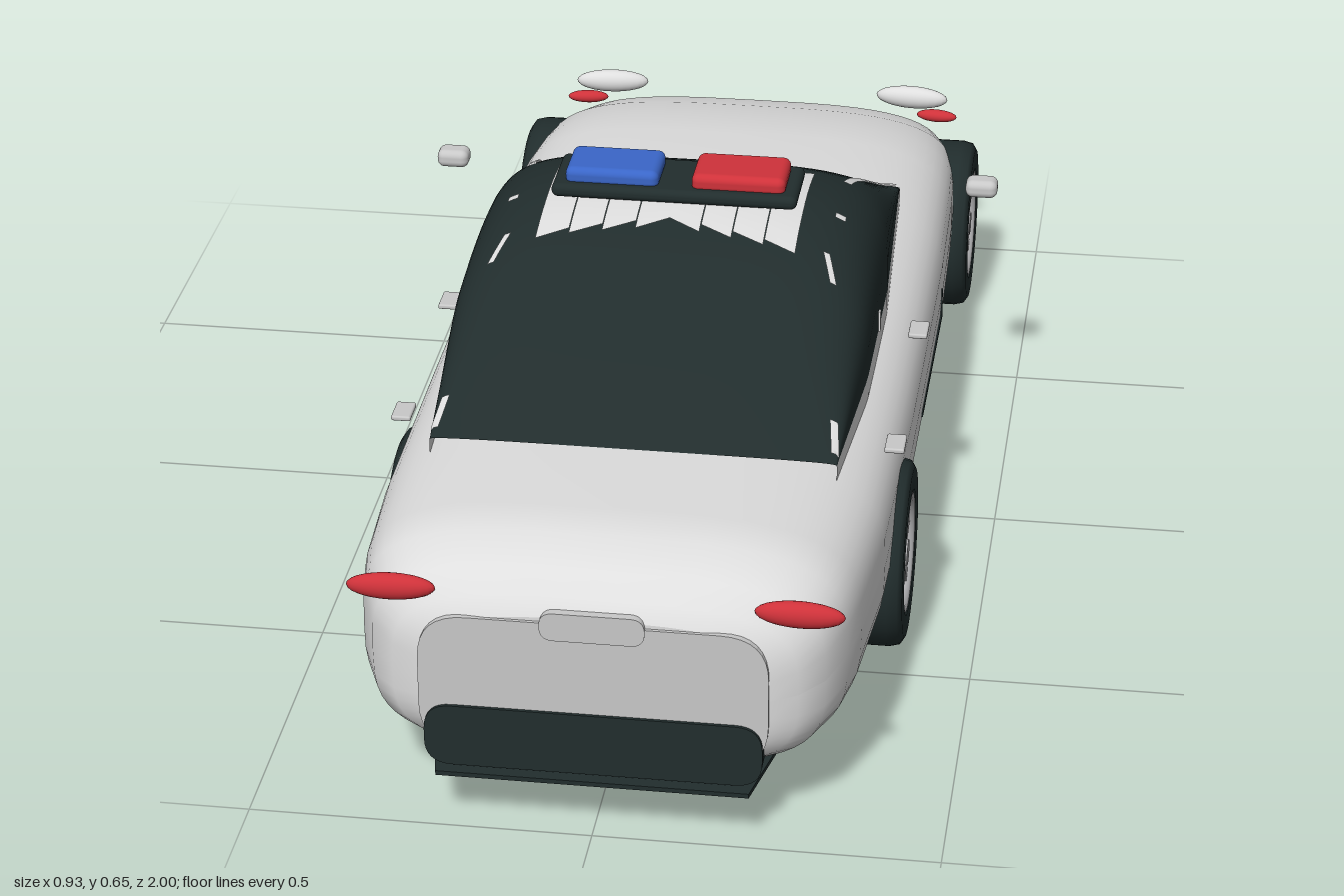
import * as THREE from 'three';
import { RoundedBoxGeometry } from 'three/addons/geometries/RoundedBoxGeometry.js';

const mat = (name, color, side = THREE.FrontSide) => {
  const m = new THREE.MeshStandardMaterial({ color, side });
  m.name = name;
  return m;
};

// Skin through cross-sections listed from back (-z) to front (+z)
function loft(sections, caps = false) {
  const n = sections[0].length, pos = [], idx = [];
  sections.forEach(s => s.forEach(p => pos.push(...p)));
  for (let i = 0; i < sections.length - 1; i++)
    for (let j = 0; j < n - 1; j++) {
      const a = i * n + j, b = a + 1, c = a + n, d = c + 1;
      idx.push(a, b, c, b, d, c);
    }
  if (caps) [sections[0], sections[sections.length - 1]].forEach((s, end) => {
    const base = pos.length / 3;
    const mid = [0, (Math.max(...s.map(p => p[1])) + Math.min(...s.map(p => p[1]))) / 2, s[0][2]];
    [mid, ...s].forEach(p => pos.push(...p));
    for (let j = 1; j < n; j++) end ? idx.push(base, base + j, base + j + 1) : idx.push(base, base + j + 1, base + j);
  });
  const g = new THREE.BufferGeometry();
  g.setAttribute('position', new THREE.Float32BufferAttribute(pos, 3));
  g.setIndex(idx);
  g.computeVertexNormals();
  return g;
}

const spow = (v, e) => Math.sign(v) * Math.pow(Math.abs(v), e);

// Superellipse arc around (0, cy)
function arc(z, w, cy, h, n, from, to, steps) {
  return Array.from({ length: steps + 1 }, (_, i) => {
    const a = from + (to - from) * i / steps;
    return [w * spow(Math.cos(a), 2 / n), cy + h * spow(Math.sin(a), 2 / n), z];
  });
}

// Rounded rectangle plate facing z
function plate(w, h, r, depth) {
  const s = new THREE.Shape(), x = w / 2, y = h / 2;
  s.moveTo(-x + r, -y).lineTo(x - r, -y).quadraticCurveTo(x, -y, x, -y + r).lineTo(x, y - r)
    .quadraticCurveTo(x, y, x - r, y).lineTo(-x + r, y).quadraticCurveTo(-x, y, -x, y - r)
    .lineTo(-x, -y + r).quadraticCurveTo(-x, -y, -x + r, -y);
  return new THREE.ExtrudeGeometry(s, { depth, bevelEnabled: false, curveSegments: 8 });
}

export function createModel() {
  const car = new THREE.Group();
  car.name = 'patrolCar';
  const white = mat('bodyWhite', 0xdedede, THREE.DoubleSide);
  const black = mat('darkGlass', 0x212d2d, THREE.DoubleSide);
  const grey = mat('trimGrey', 0xc8c8c8);
  const steel = mat('wheelSteel', 0xa8a8aa);
  const hollow = mat('wheelHollow', 0x77797a);
  const red = mat('lampRed', 0xcf323a);
  const blue = mat('lampBlue', 0x3a66c8);

  const add = (name, geo, material, x = 0, y = 0, z = 0, parent = car) => {
    const m = new THREE.Mesh(geo, material);
    m.name = name;
    m.position.set(x, y, z);
    parent.add(m);
    return m;
  };
  const box = (w, h, d) => new THREE.BoxGeometry(w, h, d);
  const ellipsoid = (a, b, c) => new THREE.SphereGeometry(1, 24, 14).scale(a, b, c);

  // Body: z, half width, bottom, top
  const hull = [
    [-1, .22, .12, .235], [-.99, .25, .11, .255], [-.96, .295, .1, .285], [-.9, .335, .085, .315],
    [-.8, .36, .075, .348], [-.7, .368, .071, .37], [-.6, .373, .07, .385], [-.35, .38, .07, .4],
    [-.1, .381, .07, .402], [.2, .381, .07, .402], [.6, .376, .075, .412], [.8, .362, .08, .425],
    [.87, .35, .085, .42], [.93, .325, .092, .395], [.963, .29, .105, .368], [.977, .25, .12, .342],
  ];
  add('body', loft(hull.map(([z, w, b, t]) =>
    arc(z, w, (b + t) / 2, (t - b) / 2, 3.4, 0, Math.PI * 2, 56)), true), white);

  // Cabin: roof line sampled along z
  const roofLine = new THREE.SplineCurve([
    [-.385, .402], [-.25, .482], [-.1, .562], [0, .597], [.13, .607], [.28, .58], [.45, .503], [.6, .412],
  ].map(p => new THREE.Vector2(...p))).getPoints(42);
  const baseY = t => Math.min(.408, t - .006);
  const cabinW = z => .301 + .018 * Math.min(1, (z + .385) / .4, (.62 - z) / .3);
  add('cabinGlass', loft(roofLine.map(({ x: z, y: t }) =>
    arc(z, cabinW(z), baseY(t), t - baseY(t), 4, 0, Math.PI, 36))), black);
  for (const s of [1, -1])
    add('cabinSill', loft(roofLine.map(({ x: z, y: t }) => {
      const lo = [s * cabinW(z), .34, z], hi = [s * cabinW(z), baseY(t), z];
      return s > 0 ? [lo, hi] : [hi, lo];
    })), white);

  // Height of the cabin skin, for the trim lying on it
  const skin = (x, z) => {
    const i = Math.max(1, roofLine.findIndex(p => p.x >= z));
    const a = roofLine[i - 1], b = roofLine[i];
    const t = a.y + (b.y - a.y) * (z - a.x) / (b.x - a.x), base = baseY(t);
    return base + (t - base) * Math.pow(Math.max(0, 1 - Math.pow(Math.abs(x) / cabinW(z), 4)), .25);
  };
  const strip = (name, z0, z1, xa, xb, half, lift = .004) => add(name, loft(
    Array.from({ length: 17 }, (_, i) => {
      const k = i / 16, z = z0 + (z1 - z0) * k, x = xa + (xb - xa) * k;
      return [half, 0, -half].map(o => [x + o, skin(x + o, z) + lift, z]);
    })), white);
  for (const s of [1, -1]) {
    strip('windscreenPillar', -.365, -.01, s * .292, s * .25, .006);
    strip('rearPillarFoot', .53, .585, s * .29, s * .298, .006);
    strip('rearPillarTop', .24, .3, s * .245, s * .262, .005);
    strip('doorPillarTop', .125, .14, s * .255, s * .255, .008);
  }

  // Roof panel with saw-tooth ends
  const columns = [];
  const teeth = 4, half = .2;
  for (const s of [-1, 1])
    for (let t = 0; t < teeth; t++) {
      const x0 = s * half * t / teeth, x1 = s * half * (t + .98) / teeth;
      const front = [.205 + .012 * t, .235 + .009 * t], rear = [.03 - .008 * t, .015 - .008 * t];
      const [a, b] = s > 0 ? [0, 1] : [1, 0], xs = s > 0 ? [x0, x1] : [x1, x0];
      columns.push([xs, [rear[a], rear[b]], [front[a], front[b]]]);
    }
  columns.forEach(([xs, rear, front]) => add('roofPanel', loft(
    Array.from({ length: 9 }, (_, i) => [1, 0].map(e => {
      const z = rear[e] + (front[e] - rear[e]) * i / 8;
      return [xs[e], skin(xs[e], z) + .004, z];
    }))), white));

  // Light bar
  add('lightBarBase', new RoundedBoxGeometry(.38, .022, .125, 4, .01), black, 0, .619, .108);
  add('blueBeacon', new RoundedBoxGeometry(.145, .03, .095, 4, .012), blue, -.098, .637, .108);
  add('redBeacon', new RoundedBoxGeometry(.145, .03, .095, 4, .012), red, .098, .637, .108);

  // Panels at the +z end
  add('tailPanel', plate(.5, .215, .07, .012), grey, 0, .228, .97);
  add('tailHandle', plate(.15, .044, .021, .02), grey, 0, .331, .964);
  add('tailBumper', plate(.485, .097, .04, .05), black, 0, .143, .937);
  const tray = new THREE.Shape([[-.27, .78], [.27, .78], [.225, 1], [-.225, 1]].map(p => new THREE.Vector2(...p)));
  add('underTray', new THREE.ExtrudeGeometry(tray, { depth: .007, bevelEnabled: false })
    .rotateX(Math.PI / 2), black, 0, .09, 0);

  // Panels at the -z end
  add('nosePanel', plate(.4, .1, .04, .02), grey, 0, .183, -1);
  add('grille', plate(.45, .085, .035, .04), black, 0, .145, -1);
  add('numberPlate', plate(.13, .042, .02, .008), grey, 0, .145, -1.004);

  for (const s of [1, -1]) {
    // Lamps
    add('tailLamp', ellipsoid(.064, .02, .016), red, s * .29, .364, .957).rotation.z = s * -.02;
    add('headLamp', ellipsoid(.064, .02, .018), white, s * .27, .312, -.957).rotation.y = s * -.08;
    add('markerLamp', ellipsoid(.036, .011, .012), red, s * .315, .278, -.958).rotation.y = s * -.1;
    // Side details
    add('mirror', new RoundedBoxGeometry(.052, .03, .04, 4, .012), grey, s * .44, .435, -.333);
    for (const z of [.44, .06])
      add('doorHandle', new RoundedBoxGeometry(.03, .008, .05, 2, .003), grey, s * .374, .364, z);
    add('doorPillarFoot', box(.008, .034, .008), white, s * .318, .424, .155);
    add('sideMoulding', box(.008, .007, .36), black, s * .378, .2, -.145);
    add('sillLine', box(.008, .007, .36), black, s * .345, .12, -.145);
    add('doorSeam', box(.006, .05, .005), black, s * .379, .225, -.318);
  }

  // Wheels
  const tyre = new THREE.LatheGeometry([
    [.097, -.045], [.13, -.045], [.141, -.038], [.145, -.022], [.145, .022], [.141, .038],
    [.13, .045], [.097, .045], [.094, .035], [.094, -.035], [.097, -.045],
  ].map(p => new THREE.Vector2(...p)), 40).rotateZ(-Math.PI / 2);
  const dish = new THREE.CylinderGeometry(.096, .096, .04, 32).rotateZ(Math.PI / 2);
  const rim = new THREE.TorusGeometry(.091, .008, 8, 40).rotateY(Math.PI / 2);
  const hub = new THREE.CylinderGeometry(.02, .024, .024, 20).rotateZ(-Math.PI / 2);
  for (const s of [1, -1])
    for (const z of [-.8, .38]) {
      const wheel = new THREE.Group();
      wheel.name = z < 0 ? 'noseWheel' : 'tailWheel';
      wheel.position.set(s * .35, .145, z);
      wheel.rotation.y = s > 0 ? 0 : Math.PI;
      car.add(wheel);
      add('tyre', tyre, black, 0, 0, 0, wheel);
      add('dish', dish, hollow, 0, 0, 0, wheel);
      add('rim', rim, steel, .036, 0, 0, wheel);
      add('hub', hub, steel, .03, 0, 0, wheel);
      for (let i = 0; i < 5; i++)
        add('spoke', box(.016, .085, .024).translate(0, .05, 0), steel, .029, 0, 0, wheel)
          .rotation.x = i * Math.PI * 2 / 5;
    }
  return car;
}
